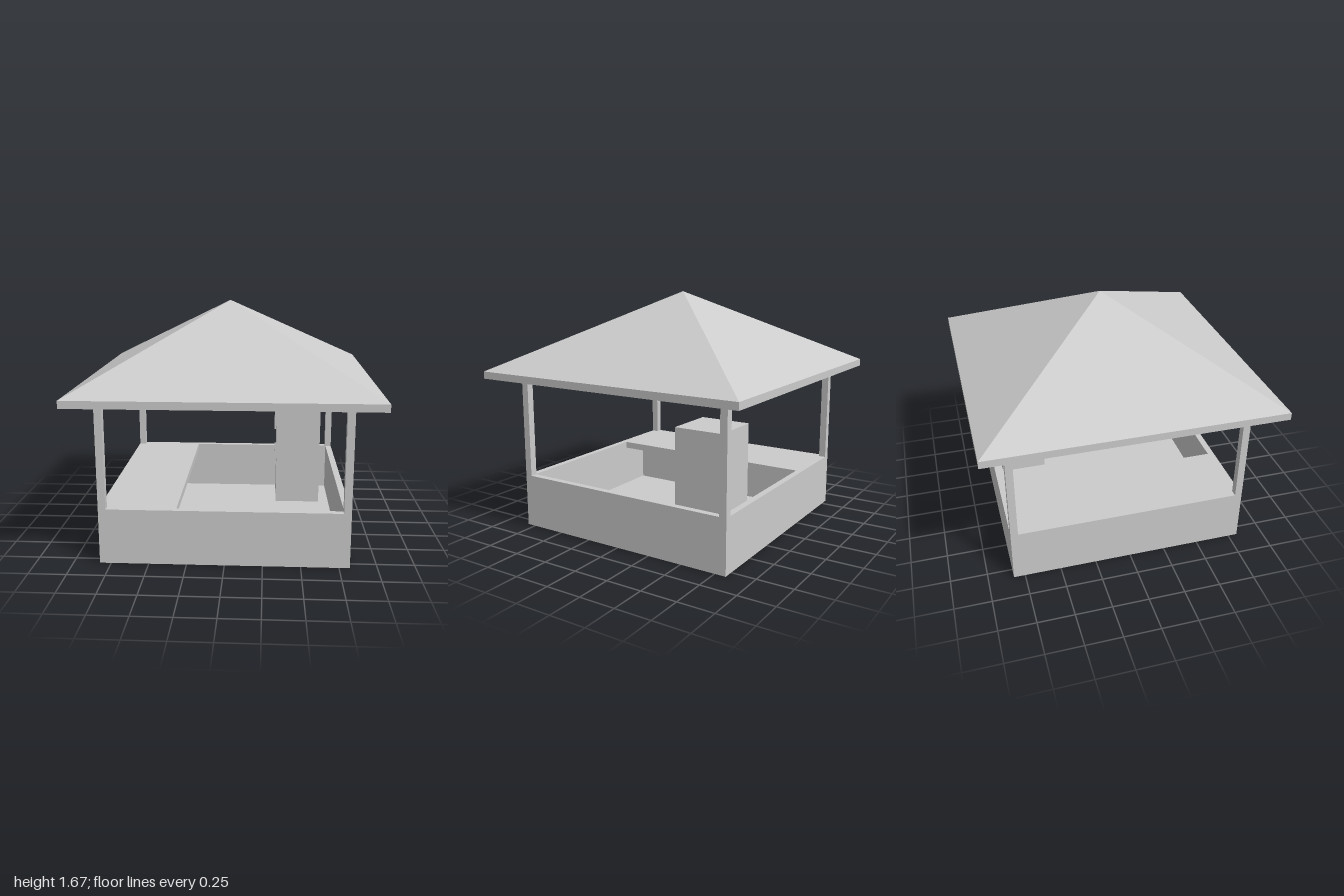
import * as THREE from 'three';

const material = new THREE.MeshStandardMaterial({ color: 0xcccccc, flatShading: true });

// Box given by its min and max on each axis
function box(name, [x0, x1], [y0, y1], [z0, z1]) {
  const mesh = new THREE.Mesh(new THREE.BoxGeometry(x1 - x0, y1 - y0, z1 - z0), material);
  mesh.name = name;
  mesh.position.set((x0 + x1) / 2, (y0 + y1) / 2, (z0 + z1) / 2);
  return mesh;
}

export function createModel() {
  const kiosk = new THREE.Group();
  kiosk.name = 'kiosk';

  // Outer extents of the base and main heights
  const X = [-0.825, 0.82], Z = [-0.828, 0.815];
  const wall = 0.045, post = 0.05;
  const floorY = 0.015, wallY = 0.375, eaveY = 1.085, rimY = 1.135, apexY = 1.67;
  const innerX = [X[0] + wall, X[1] - wall], innerZ = [Z[0] + wall, Z[1] - wall];

  // Floor and low surrounding walls
  kiosk.add(
    box('floor', innerX, [0, floorY], innerZ),
    box('frontWall', X, [0, wallY], [innerZ[1], Z[1]]),
    box('backWall', X, [0, wallY], [Z[0], innerZ[0]]),
    box('leftWall', [innerX[1], X[1]], [0, wallY], innerZ),
    box('rightWall', [X[0], innerX[0]], [0, wallY], innerZ),
  );

  // Corner posts
  for (const x of [X[0], X[1] - post])
    for (const z of [Z[0], Z[1] - post])
      kiosk.add(box('post', [x, x + post], [wallY, eaveY], [z, z + post]));

  // Counter with an overhanging top along the right wall
  kiosk.add(
    box('counterTop', [innerX[0], -0.315], [wallY - 0.05, wallY], innerZ),
    box('counterBase', [innerX[0], -0.555], [floorY, wallY - 0.05], innerZ),
  );

  // Two-door refrigerator, doors facing the counter
  const fridge = new THREE.Group();
  fridge.name = 'refrigerator';
  const fx = [0.35, 0.695], fz = [-0.725, -0.38], split = 0.575;
  fridge.add(
    box('lowerCompartment', fx, [floorY, split], fz),
    box('upperCompartment', fx, [split, 0.855], fz),
    box('lowerHandle', [0.333, 0.35], [0.32, 0.5], [-0.42, -0.4]),
    box('upperHandle', [0.333, 0.35], [0.615, 0.795], [-0.42, -0.4]),
  );
  kiosk.add(fridge);

  // Roof slab and pyramid
  const rz = 0.995;
  kiosk.add(box('roofRim', [-1, 1], [eaveY, rimY], [-rz, rz]));
  const pyramid = new THREE.CylinderGeometry(0, Math.SQRT2, apexY - rimY, 4, 1, true);
  pyramid.rotateY(Math.PI / 4);
  pyramid.scale(1, 1, rz);
  const roof = new THREE.Mesh(pyramid, material);
  roof.name = 'roof';
  roof.position.y = (apexY + rimY) / 2;
  kiosk.add(roof);

  return kiosk;
}
